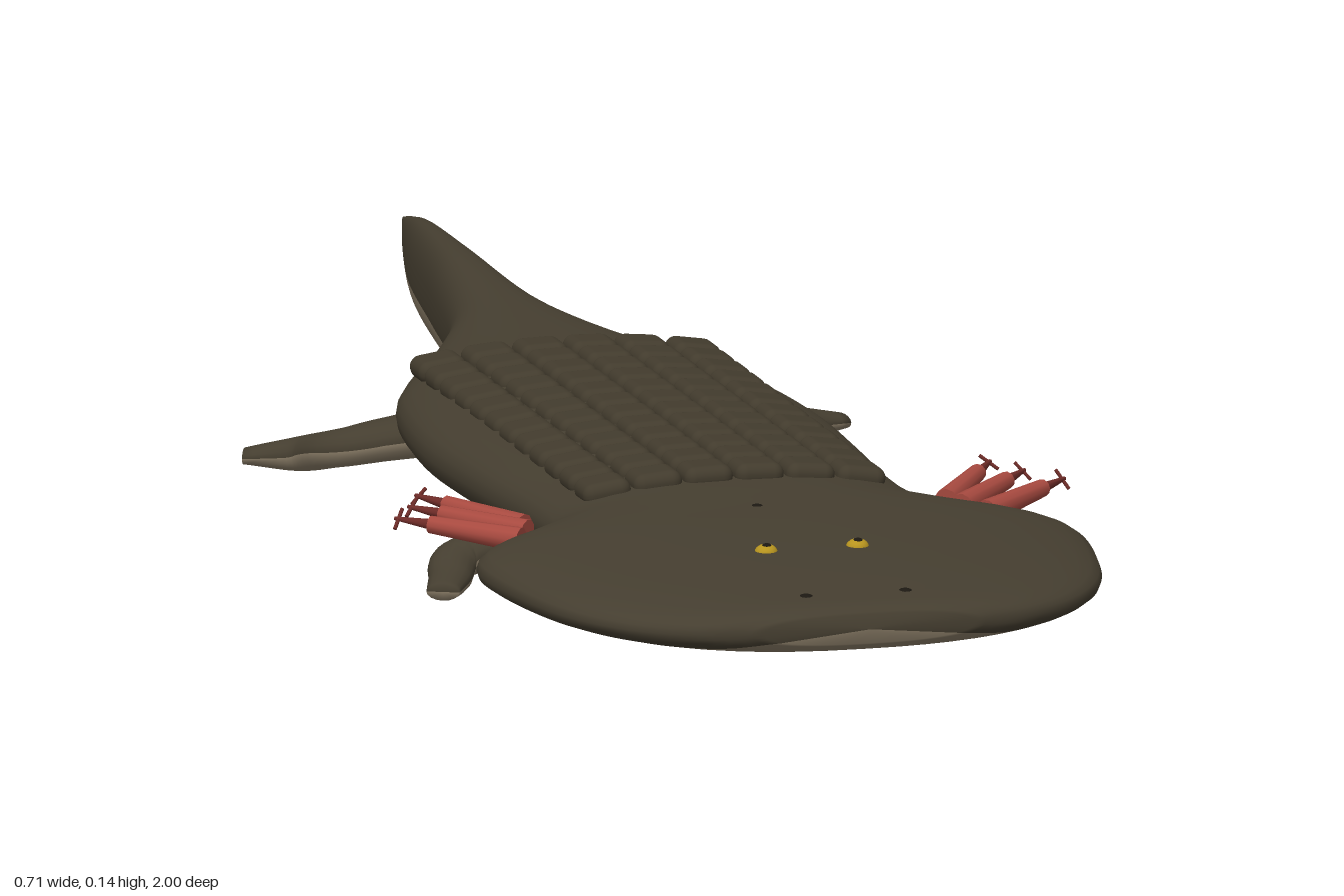
import * as THREE from 'three';
import { RoundedBoxGeometry } from 'three/addons/geometries/RoundedBoxGeometry.js';

const V = (x, y, z) => new THREE.Vector3(x, y, z);
const mat = (name, color) => {
  const m = new THREE.MeshStandardMaterial({ color });
  m.name = name;
  return m;
};

// Skin through superellipse rings; group 0 is the back, group 1 the belly.
// Each ring: centre c, side vector, half width w, up and down heights, belly start step.
function loft(rings, N, power) {
  const pos = [], back = [], belly = [];
  const bulge = (v) => Math.sign(v) * Math.abs(v) ** (2 / power);
  for (const r of rings) {
    for (let j = 0; j < N; j++) {
      const a = (j / N) * Math.PI * 2;
      const s = bulge(Math.sin(a));
      const p = r.c.clone().addScaledVector(r.side, r.w * bulge(Math.cos(a)));
      pos.push(p.x, p.y + s * (s > 0 ? r.up : r.down), p.z);
    }
  }
  for (let i = 0; i < rings.length - 1; i++) {
    const k = rings[i].split;
    for (let j = 0; j < N; j++) {
      const n = (j + 1) % N;
      const a = i * N + j, b = i * N + n, c = a + N, d = b + N;
      const list = j >= N / 2 + k && j < N - k ? belly : back;
      list.push(a, b, c, b, d, c);
    }
  }
  const g = new THREE.BufferGeometry();
  g.setAttribute('position', new THREE.Float32BufferAttribute(pos, 3));
  g.setIndex([...back, ...belly]);
  g.addGroup(0, back.length, 0);
  g.addGroup(back.length, belly.length, 1);
  g.computeVertexNormals();
  return g;
}

// Body stations: z, centre x, half width, bottom y, top y
const STATIONS = [
  [-1, 0.075, 0.002, 0.075, 0.081],
  [-0.9, 0.055, 0.01, 0.048, 0.103],
  [-0.78, 0.036, 0.018, 0.029, 0.124],
  [-0.6, 0.02, 0.03, 0.021, 0.134],
  [-0.42, 0.01, 0.052, 0.023, 0.131],
  [-0.3, 0.004, 0.096, 0.025, 0.128],
  [-0.17, 0, 0.162, 0.026, 0.125],
  [-0.08, 0, 0.192, 0.024, 0.126],
  [0.08, 0, 0.21, 0.022, 0.127],
  [0.25, 0, 0.205, 0.022, 0.127],
  [0.4, 0, 0.196, 0.024, 0.126],
  [0.51, 0, 0.203, 0.03, 0.124],
  [0.56, 0, 0.245, 0.034, 0.122],
  [0.61, 0, 0.3, 0.036, 0.12],
  [0.67, 0, 0.316, 0.037, 0.118],
  [0.77, 0, 0.305, 0.038, 0.113],
  [0.86, 0, 0.28, 0.04, 0.107],
  [0.93, 0, 0.235, 0.043, 0.101],
  [0.975, 0, 0.175, 0.048, 0.096],
  [0.995, 0, 0.11, 0.058, 0.088],
];

function bodyGeometry() {
  const curve = (f) => new THREE.CatmullRomCurve3(STATIONS.map(f), false, 'catmullrom', 0.5);
  const plan = curve((s) => V(s[1], s[2], s[0]));
  const height = curve((s) => V(s[3], s[4], 0));
  const rings = [];
  for (let i = 0; i <= 95; i++) {
    const p = plan.getPoint(i / 95), h = height.getPoint(i / 95);
    const half = (h.y - h.x) / 2;
    rings.push({
      c: V(p.x, h.x + half, p.z), side: V(1, 0, 0), w: Math.max(p.y, 0.001),
      up: half, down: half, split: p.z > 0.58 ? 4 : 2,
    });
  }
  const first = rings[0], last = rings[rings.length - 1];
  rings.unshift({ ...first, w: 0, up: 0, down: 0 });
  rings.push({ ...last, c: last.c.clone().setZ(0.998), w: 0, up: 0, down: 0 });
  return loft(rings, 40, 2.4);
}

// Leg from path points and [half width, half height] per point
function legGeometry(points, sizes) {
  const path = new THREE.CatmullRomCurve3(points, false, 'catmullrom', 0.5);
  const size = new THREE.CatmullRomCurve3(sizes.map((s) => V(s[0], s[1], 0)), false, 'catmullrom', 0.5);
  const rings = [];
  for (let i = 0; i <= 24; i++) {
    const c = path.getPoint(i / 24), s = size.getPoint(i / 24);
    const d = path.getTangent(i / 24).setY(0).normalize();
    rings.push({ c, side: V(0, 1, 0).cross(d), w: s.x, up: s.y, down: s.y, split: 0 });
  }
  rings.push({ ...rings[24], w: 0, up: 0, down: 0 });
  return loft(rings, 16, 2);
}

export function createModel() {
  const skin = mat('dark olive skin', 0x453e30);
  const under = mat('tan belly', 0x877a65);
  const plate = mat('back scutes', 0x423b2d);
  const red = mat('gill red', 0xa84a40);
  const darkRed = mat('gill filament', 0x6e2c28);
  const yellow = mat('eye yellow', 0xb8951f);
  const black = mat('pupil and nostril', 0x1c1812);

  const model = new THREE.Group();
  model.name = 'amphibian';
  const add = (name, geo, material, parent = model) => {
    const m = new THREE.Mesh(geo, material);
    m.name = name;
    parent.add(m);
    return m;
  };

  add('body', bodyGeometry(), [skin, under]);

  // Rows of pillow-shaped scutes on the back
  const scutes = new THREE.Group();
  scutes.name = 'backScutes';
  model.add(scutes);
  const scuteGeo = new RoundedBoxGeometry(0.051, 0.024, 0.051, 3, 0.0115);
  for (let row = 0; row < 12; row++) {
    for (let col = 0; col < 6; col++) {
      const x = (col - 2.5) * 0.0535;
      const s = add('scute', scuteGeo, plate, scutes);
      s.position.set(x, 0.127 - 0.55 * x * x, -0.135 + row * 0.0555);
      s.rotation.z = -x * 1.1;
    }
  }

  for (const [side, m] of [['left', 1], ['right', -1]]) {
    const P = (x, y, z) => V(m * x, y, z);

    // Legs
    add(side + 'FrontLeg', legGeometry(
      [P(0.14, 0.058, 0.39), P(0.215, 0.046, 0.385), P(0.262, 0.034, 0.39), P(0.28, 0.022, 0.425), P(0.298, 0.018, 0.463)],
      [[0.036, 0.026], [0.028, 0.022], [0.026, 0.021], [0.022, 0.016], [0.017, 0.009]]), [skin, under]);
    add(side + 'HindLeg', legGeometry(
      [P(0.12, 0.058, -0.115), P(0.19, 0.046, -0.133), P(0.235, 0.036, -0.15), P(0.262, 0.022, -0.198), P(0.314, 0.018, -0.22)],
      [[0.04, 0.026], [0.032, 0.022], [0.026, 0.02], [0.019, 0.018], [0.016, 0.008]]), [skin, under]);

    // Three feathery gills
    const gills = new THREE.Group();
    gills.name = side + 'Gills';
    model.add(gills);
    const ends = [
      [P(0.245, 0.09, 0.565), P(0.352, 0.1, 0.475)],
      [P(0.228, 0.09, 0.53), P(0.324, 0.1, 0.425)],
      [P(0.222, 0.088, 0.495), P(0.302, 0.1, 0.375)],
    ];
    for (const [a, b] of ends) {
      const dir = b.clone().sub(a), len = dir.length();
      const gill = new THREE.Group();
      gill.name = 'gill';
      gill.position.copy(a);
      gill.quaternion.setFromUnitVectors(V(0, 1, 0), dir.normalize());
      gills.add(gill);
      add('gillStalk', new THREE.CylinderGeometry(0.009, 0.013, len * 0.72, 10), red, gill).position.y = len * 0.36;
      add('gillTip', new THREE.CylinderGeometry(0.002, 0.006, len * 0.3, 8), darkRed, gill).position.y = len * 0.85;
      const bar = add('gillFilament', new THREE.CylinderGeometry(0.002, 0.002, 0.024, 6), darkRed, gill);
      bar.position.y = len * 0.97;
      bar.rotation.z = Math.PI / 2;
    }

    // Eyes and nostrils
    const eye = add(side + 'Eye', new THREE.SphereGeometry(0.012, 16, 10), yellow);
    eye.position.set(m * 0.048, 0.11, 0.78);
    eye.scale.y = 0.75;
    const pupil = add(side + 'Pupil', new THREE.SphereGeometry(0.005, 10, 8), black);
    pupil.position.set(m * 0.048, 0.1175, 0.782);
    pupil.scale.y = 0.5;
    const nostril = add(side + 'Nostril', new THREE.SphereGeometry(0.007, 10, 8), black);
    nostril.position.set(m * 0.052, 0.0985, 0.943);
    nostril.scale.y = 0.4;
  }

  // Small spot on the crown
  const spot = add('crownSpot', new THREE.SphereGeometry(0.006, 10, 8), black);
  spot.position.set(-0.008, 0.1195, 0.605);
  spot.scale.y = 0.35;

  // Rest the feet on the ground
  const box = new THREE.Box3().setFromObject(model, true);
  for (const child of model.children) child.position.y -= box.min.y;
  return model;
}
